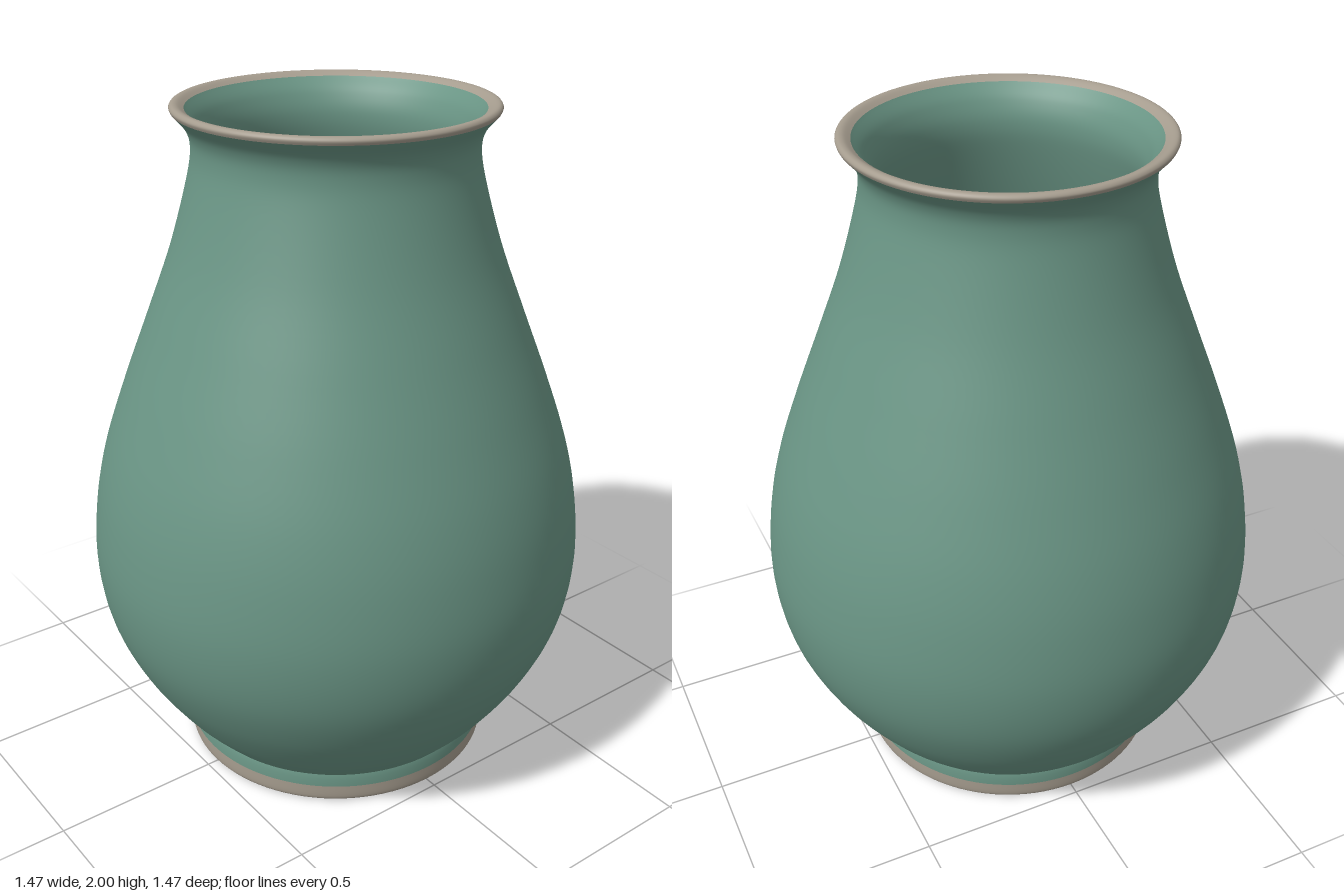
import * as THREE from 'three';

const SEGMENTS = 96;

// Smooth curve through a few [radius, height] points
function smooth(points, divisions) {
  const curve = new THREE.SplineCurve(points.map(([r, y]) => new THREE.Vector2(r, y)));
  return curve.getPoints(divisions);
}

function turned(name, profile, material) {
  const mesh = new THREE.Mesh(new THREE.LatheGeometry(profile, SEGMENTS), material);
  mesh.name = name;
  return mesh;
}

const line = (points) => points.map(([r, y]) => new THREE.Vector2(r, y));

export function createModel() {
  const glaze = new THREE.MeshStandardMaterial({ color: 0x6a9585 });
  glaze.name = 'celadon glaze';
  const clay = new THREE.MeshStandardMaterial({ color: 0xa59c8e });
  clay.name = 'bare clay';

  const vase = new THREE.Group();
  vase.name = 'vase';

  // Outer wall, from the shoulder of the foot up to the flared lip
  const outside = [
    [0.468, 0.095], [0.55, 0.19], [0.645, 0.335], [0.71, 0.49], [0.735, 0.66],
    [0.722, 0.84], [0.685, 1.01], [0.62, 1.2], [0.543, 1.4], [0.468, 1.6],
    [0.413, 1.79], [0.398, 1.88], [0.41, 1.935], [0.447, 1.98],
  ];
  vase.add(turned('body', smooth(outside, 90), glaze));

  // Inner wall, from the lip down to the floor
  const inside = [
    [0.41, 1.988], [0.378, 1.945], [0.36, 1.88], [0.373, 1.79], [0.428, 1.6],
    [0.503, 1.4], [0.58, 1.2], [0.645, 1.01], [0.682, 0.84], [0.695, 0.66],
    [0.67, 0.49], [0.605, 0.335], [0.51, 0.19], [0.42, 0.1],
  ];
  vase.add(turned('innerWall', smooth(inside, 90), glaze));
  vase.add(turned('innerFloor', line([[0.42, 0.1], [0, 0.1]]), glaze));

  // Rounded bare edge of the mouth
  const rim = [[0.447, 1.98], [0.451, 1.991], [0.443, 2], [0.428, 1.999], [0.41, 1.988]];
  vase.add(turned('rim', smooth(rim, 16), clay));

  // Foot: glazed collar over a bare ring, with a shallow glazed underside
  vase.add(turned('footCollar', line([[0.473, 0.055], [0.472, 0.08], [0.468, 0.095]]), glaze));
  const ring = [[0.425, 0.015], [0.432, 0.004], [0.445, 0], [0.462, 0.002], [0.472, 0.014], [0.473, 0.055]];
  vase.add(turned('footRing', smooth(ring, 24), clay));
  vase.add(turned('underside', line([[0, 0.015], [0.425, 0.015]]), glaze));

  return vase;
}
